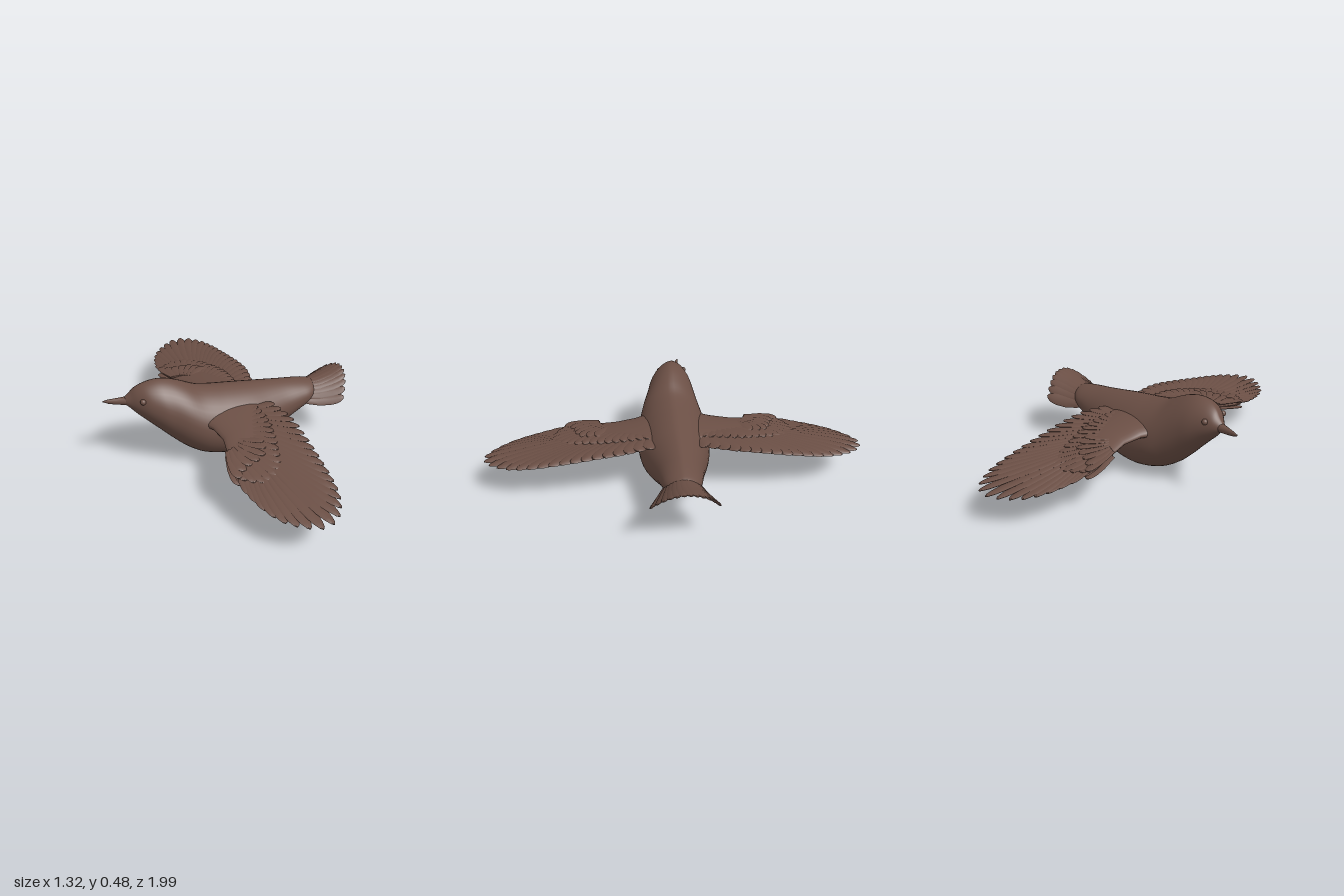
import * as THREE from 'three';
import { mergeGeometries, toCreasedNormals } from 'three/addons/utils/BufferGeometryUtils.js';

const V = (x, y, z) => new THREE.Vector3(x, y, z);

// Closed skin over a list of equal-sized rings; faces are turned outward.
function loft(rings) {
  const n = rings[0].length, pos = [], idx = [];
  rings.forEach(r => r.forEach(p => pos.push(p)));
  for (const r of [rings[0], rings[rings.length - 1]])
    pos.push(r.reduce((a, p) => a.add(p), V(0, 0, 0)).divideScalar(n));
  const last = (rings.length - 1) * n, c0 = rings.length * n;
  for (let j = 0; j < n; j++) {
    const k = (j + 1) % n;
    for (let i = 0; i < last; i += n)
      idx.push(i + j, i + k, i + n + j, i + k, i + n + k, i + n + j);
    idx.push(c0, k, j, c0 + 1, last + j, last + k);
  }
  let volume = 0;
  const a = V(0, 0, 0);
  for (let i = 0; i < idx.length; i += 3)
    volume += a.subVectors(pos[idx[i]], pos[c0]).dot(
      V(0, 0, 0).subVectors(pos[idx[i + 1]], pos[c0]).cross(V(0, 0, 0).subVectors(pos[idx[i + 2]], pos[c0])));
  if (volume < 0) idx.reverse();
  const geo = new THREE.BufferGeometry().setFromPoints(pos);
  geo.setIndex(idx);
  geo.computeVertexNormals();
  return geo;
}

// Round-tipped lens-shaped feather from base to tip.
function feather(base, tip, width, { thick = 0.006, roll = 0, sag = 0, mirror = 1 } = {}) {
  const d = tip.clone().sub(base).normalize();
  const side0 = d.clone().cross(V(0, 1, 0)).normalize();
  const n0 = side0.clone().cross(d);
  const side = side0.clone().multiplyScalar(Math.cos(roll)).addScaledVector(n0, Math.sin(roll));
  const n = side.clone().cross(d);
  const rings = [0, 0.25, 0.5, 0.75, 0.86, 0.93, 0.98, 1].map(t => {
    const round = t > 0.75 ? Math.sqrt(Math.max(0.003, 1 - ((t - 0.75) / 0.25) ** 2)) : 1;
    const w = width / 2 * (0.5 + 0.5 * Math.min(1, t * 2)) * round;
    const c = base.clone().lerp(tip, t);
    c.y -= sag * 4 * t * (1 - t);
    return Array.from({ length: 8 }, (_, i) => {
      const a = i / 8 * Math.PI * 2;
      const p = c.clone().addScaledVector(side, w * Math.cos(a))
        .addScaledVector(n, thick * (0.4 + 0.6 * round) * Math.sin(a));
      p.z *= mirror;
      return p;
    });
  });
  return toCreasedNormals(loft(rings), 0.8);
}

// Height of the wing's middle surface.
function wingY(x, z) {
  const k = Math.min(1, Math.max(0, (z - 0.1) / 0.9));
  return 0.277 - 0.1 * k * k * (3 - 2 * k) + 0.09 * x;
}

// A row of feathers between a curve of roots and a curve of tips, given as [x, z].
function featherRow(roots, tips, count, width, lift, opts) {
  const curve = pts => new THREE.CatmullRomCurve3(pts.map(([x, z]) => V(x, 0, z)));
  const from = curve(roots), to = curve(tips), list = [];
  for (let i = 0; i < count; i++) {
    const t = i / (count - 1), a = from.getPointAt(t), b = to.getPointAt(t);
    a.y = wingY(a.x, a.z) + lift * 0.7;
    b.y = wingY(b.x, b.z) + lift;
    list.push(feather(a, b, width, { roll: 0.14, ...opts }));
  }
  return mergeGeometries(list);
}

export function createModel() {
  const bird = new THREE.Group();
  bird.name = 'bird';
  const brown = new THREE.MeshStandardMaterial({ color: 0x6b4f45 });
  brown.name = 'brown plumage';
  const add = (name, geo, parent = bird) => {
    const m = new THREE.Mesh(geo, brown);
    m.name = name;
    parent.add(m);
    return m;
  };

  // Head and body: x, bottom, top, half width, sideways shift
  const body = [
    [-0.560, 0.358, 0.392, 0.018, -0.042], [-0.535, 0.335, 0.415, 0.038, -0.036],
    [-0.505, 0.303, 0.446, 0.062, -0.026], [-0.46, 0.262, 0.468, 0.092, -0.014],
    [-0.40, 0.203, 0.478, 0.118, -0.008], [-0.34, 0.142, 0.470, 0.135, -0.005],
    [-0.27, 0.080, 0.444, 0.158, 0], [-0.19, 0.032, 0.406, 0.180, 0],
    [-0.10, 0.007, 0.386, 0.190, 0], [-0.02, 0.001, 0.375, 0.190, 0],
    [0.08, 0.012, 0.362, 0.178, 0], [0.18, 0.046, 0.348, 0.152, -0.004],
    [0.28, 0.098, 0.334, 0.124, -0.006], [0.37, 0.148, 0.322, 0.106, -0.006],
    [0.43, 0.180, 0.312, 0.092, -0.006], [0.47, 0.206, 0.302, 0.066, -0.006],
    [0.487, 0.235, 0.285, 0.028, -0.006],
  ];
  const spine = (f) => new THREE.CatmullRomCurve3(body.map(f), false, 'catmullrom');
  const heights = spine(s => V(s[0], s[1], s[2])), widths = spine(s => V(s[0], s[3], s[4]));
  const bodyRings = Array.from({ length: 65 }, (_, i) => {
    const { x, y: low, z: high } = heights.getPoint(i / 64), { y: half, z: shift } = widths.getPoint(i / 64);
    const mid = low + (high - low) * 0.45;
    return Array.from({ length: 40 }, (_, j) => {
      const a = j / 40 * Math.PI * 2, c = Math.cos(a), s = Math.sin(a);
      const w = s > 0 ? Math.sign(c) * Math.abs(c) ** 1.25 : c;
      return V(x, mid + s * (s > 0 ? high - mid : mid - low), shift + half * w);
    });
  });
  add('body', loft(bodyRings));

  // Beak: x, y, z, half height, half width
  const beak = [
    [-0.52, 0.374, -0.033, 0.03, 0.036], [-0.56, 0.373, -0.044, 0.021, 0.022],
    [-0.60, 0.374, -0.053, 0.017, 0.014], [-0.635, 0.376, -0.061, 0.012, 0.008],
    [-0.663, 0.379, -0.067, 0.003, 0.003],
  ];
  add('beak', loft(beak.map(([x, y, z, h, w]) => Array.from({ length: 14 }, (_, j) => {
    const a = j / 14 * Math.PI * 2;
    return V(x, y + h * Math.sin(a), z + w * Math.cos(a));
  }))));

  // Eyes
  for (const s of [1, -1]) {
    const eye = add(s > 0 ? 'leftEye' : 'rightEye', new THREE.SphereGeometry(0.015, 16, 12));
    eye.position.set(-0.487, 0.398, -0.02 + s * 0.068);
  }

  // Wings: arm, flight feathers, and coverts above and below
  const arm = [
    [0.05, -0.25, 0.12, 0.05], [0.13, -0.215, 0.10, 0.042], [0.20, -0.182, 0.085, 0.032],
    [0.30, -0.168, 0.06, 0.025], [0.42, -0.19, 0.03, 0.021], [0.52, -0.208, -0.03, 0.017],
    [0.59, -0.20, -0.10, 0.01],
  ];
  const flightRoots = [[-0.17, 0.5], [-0.13, 0.5], [-0.09, 0.47], [-0.06, 0.42], [-0.04, 0.3], [-0.02, 0.2], [0, 0.09]];
  const flightTips = [[-0.185, 0.68], [-0.165, 0.79], [-0.125, 0.885], [-0.065, 0.95], [0.005, 0.995], [0.075, 0.985],
    [0.125, 0.935], [0.165, 0.86], [0.188, 0.76], [0.2, 0.62], [0.208, 0.45], [0.208, 0.3], [0.18, 0.15]];
  const covertRoots = [[-0.18, 0.46], [-0.14, 0.45], [-0.1, 0.4], [-0.06, 0.3], [-0.03, 0.12]];
  const covertTips = [[-0.18, 0.6], [-0.12, 0.645], [-0.05, 0.645], [0.0, 0.59], [0.04, 0.48], [0.075, 0.36], [0.088, 0.25], [0.085, 0.15]];
  const smallRoots = [[-0.185, 0.4], [-0.14, 0.38], [-0.1, 0.34]];
  const smallTips = [[-0.205, 0.585], [-0.15, 0.54], [-0.09, 0.525], [-0.03, 0.49], [0.0, 0.41]];
  for (const s of [1, -1]) {
    const wing = new THREE.Group();
    wing.name = s > 0 ? 'leftWing' : 'rightWing';
    bird.add(wing);
    add('wingArm', loft(arm.map(([z, lead, trail, h]) => Array.from({ length: 24 }, (_, j) => {
      const a = j / 24 * Math.PI * 2, u = (1 - Math.cos(a)) / 2;
      const x = lead + (trail - lead) * u;
      return V(x, wingY(x, z) + h * Math.sin(a) * (1.15 - 0.5 * u), z * s);
    }))), wing);
    const o = { mirror: s };
    add('flightFeathers', featherRow(flightRoots, flightTips, 25, 0.072, 0, { ...o, thick: 0.008 }), wing);
    for (const side of [1, -1]) {
      const place = side > 0 ? 'upper' : 'lower';
      add(place + 'Coverts', featherRow(covertRoots, covertTips, 17, 0.062, side * 0.012, o), wing);
      add(place + 'SmallCoverts', featherRow(smallRoots, smallTips, 7, 0.062, side * 0.02, o), wing);
    }
  }

  // Tail: arched fan of feathers
  const fan = [];
  for (let i = 0; i < 12; i++) {
    const t = i / 5.5 - 1, q = t * t;
    fan.push(feather(
      V(0.36, 0.283 - 0.055 * q, -0.008 + 0.062 * t),
      V(0.66 - 0.065 * q, 0.345 - 0.105 * q, -0.006 + 0.16 * t),
      0.062, { thick: 0.007, roll: -Math.atan(1.2 * t) + 0.1, sag: 0.014 }));
  }
  add('tailFeathers', mergeGeometries(fan));

  return bird;
}
